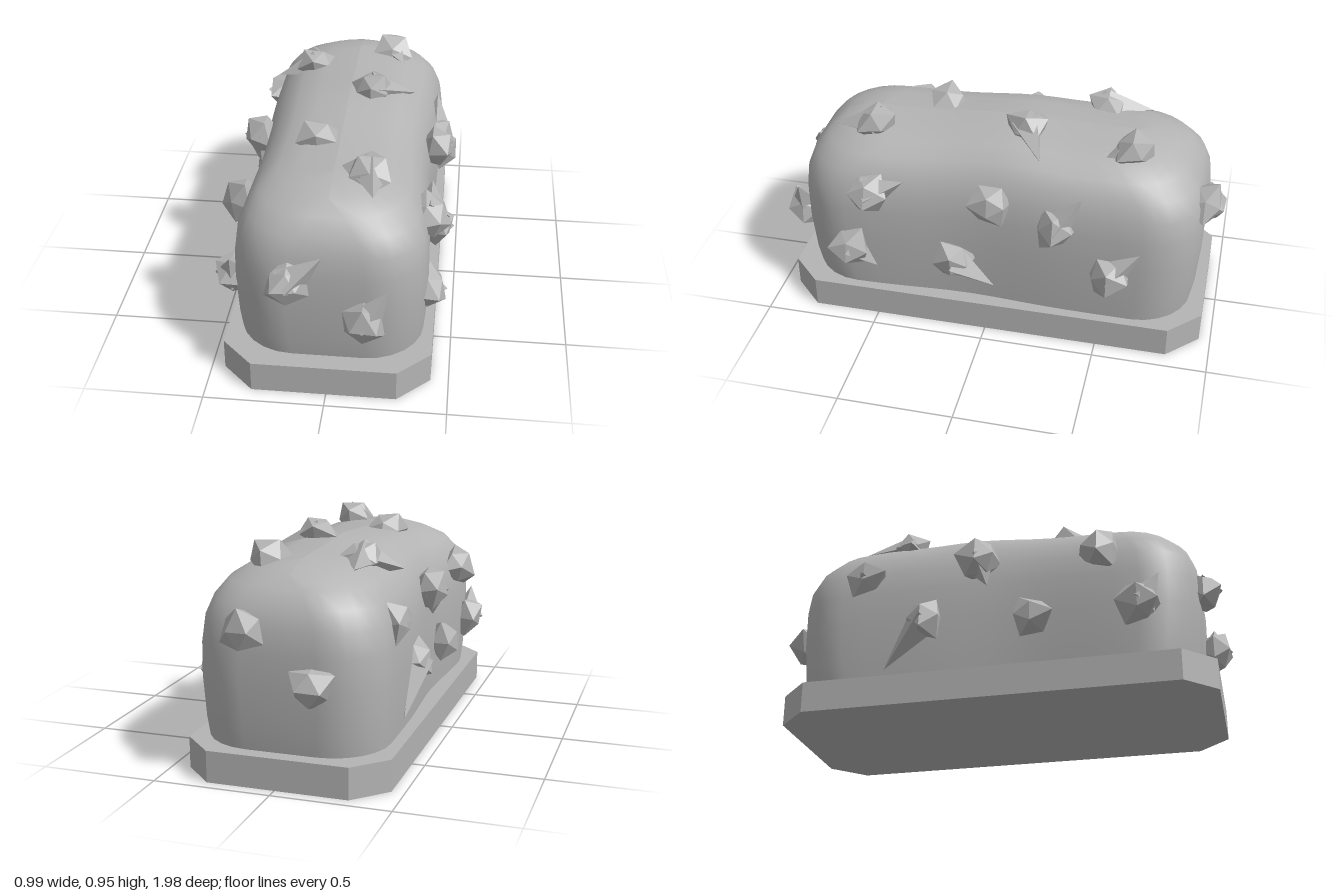
import * as THREE from 'three';

const stone = new THREE.MeshStandardMaterial({ color: 0xb4b4b4 });
stone.name = 'plain grey';
const facet = new THREE.MeshStandardMaterial({ color: 0xb4b4b4, flatShading: true });
facet.name = 'plain grey faceted';

// Rounded-rectangle outline in plan, with extra points along the long sides
function outline(a, b) {
  const r = Math.min(0.24, a), pts = [];
  for (let q = 0; q < 4; q++) {
    const sx = q < 2 ? 1 : -1, sz = q === 0 || q === 3 ? 1 : -1;
    for (let i = 0; i <= 6; i++) {
      const phi = ((q + i / 6) * Math.PI) / 2;
      pts.push([sx * (a - r) + r * Math.sin(phi), sz * (b - r) + r * Math.cos(phi)]);
    }
    if (q % 2 === 0) {
      for (let j = 1; j < 12; j++) pts.push([sx * a, sz * (b - r) * (1 - j / 6)]);
    }
  }
  return pts;
}

// Loaf-shaped body: outlines [y, half width, half length] stacked up to a ridge
function makeBody() {
  const rows = [
    [0.1, 0.385, 0.86], [0.22, 0.395, 0.88], [0.4, 0.403, 0.893], [0.54, 0.4, 0.895], [0.64, 0.388, 0.885],
    [0.72, 0.358, 0.857], [0.785, 0.312, 0.805], [0.83, 0.24, 0.74], [0.855, 0.14, 0.66], [0.865, 0, 0.58],
  ];
  const pos = [], index = [];
  rows.forEach(([y, a, b], r) => {
    const ring = outline(a, b), count = ring.length;
    ring.forEach(([x, v], i) => {
      const z = v - 0.02;
      const hump = Math.exp(-(((z + 0.1) / 0.3) ** 2));
      const waist = 1 - 0.06 * Math.exp(-(((z - 0.1) / 0.3) ** 2));
      const lift = 0.985 + 0.04 * hump + 0.022 * THREE.MathUtils.smoothstep(-z, 0.2, 0.55);
      pos.push(x * waist - 0.005, y * lift, z);
      if (r < rows.length - 1) {
        const j = (i + 1) % count, p = r * count;
        index.push(p + i, p + j, p + count + i, p + j, p + count + j, p + count + i);
      }
    });
  });
  const g = new THREE.BufferGeometry();
  g.setAttribute('position', new THREE.Float32BufferAttribute(pos, 3));
  g.setIndex(index);
  g.computeVertexNormals();
  return g;
}

// Flat slab with cut corners
function makeBase() {
  const a = 0.435, b = 0.94, c = 0.135;
  const pts = [[a, b - c], [a - c, b], [c - a, b], [-a, b - c], [-a, c - b], [c - a, -b], [a - c, -b], [a, c - b]];
  const shape = new THREE.Shape(pts.map(([x, y]) => new THREE.Vector2(x, y)));
  const g = new THREE.ExtrudeGeometry(shape, { depth: 0.135, bevelEnabled: false });
  return g.rotateX(-Math.PI / 2).translate(-0.01, 0, -0.01);
}

// Irregular chunk: icosahedron with its corners moved by a repeatable rule and a blunt top
function makeChunk(seed) {
  const g = new THREE.IcosahedronGeometry(1, 0);
  const p = g.attributes.position;
  for (let i = 0; i < p.count; i++) {
    const [x, y, z] = [p.getX(i), p.getY(i), p.getZ(i)];
    const k = 1 + 0.2 * Math.sin(seed * 2.3 + Math.round(x * 10) * 1.7 + Math.round(y * 10) * 2.9 + Math.round(z * 10) * 4.1);
    p.setXYZ(i, x * k, Math.min(y * k, 0.9), z * k);
  }
  g.computeVertexNormals();
  return g;
}

const UP = new THREE.Vector3(0, 1, 0);

// Rock at a point on the body, with sharp shards lying along the surface
function addRock(group, at, normal, reaches) {
  const seed = group.children.length + 1;
  const rock = new THREE.Group();
  rock.name = 'rock' + seed;
  const chunk = new THREE.Mesh(makeChunk(seed), facet);
  chunk.name = 'chunk';
  chunk.scale.set(0.095, 0.085, 0.095);
  chunk.quaternion.setFromUnitVectors(UP, normal.normalize());
  chunk.position.copy(at);
  rock.add(chunk);
  for (const reach of reaches) {
    const shard = new THREE.Mesh(new THREE.ConeGeometry(0.08, reach.length(), 4), facet);
    shard.name = 'shard';
    shard.position.copy(at).addScaledVector(reach, 0.5);
    shard.quaternion.setFromUnitVectors(UP, reach.normalize());
    rock.add(shard);
  }
  group.add(rock);
}

export function createModel() {
  const model = new THREE.Group();
  model.name = 'rockyLoaf';
  const body = new THREE.Mesh(makeBody(), stone);
  body.name = 'body';
  const base = new THREE.Mesh(makeBase(), facet);
  base.name = 'base';
  const rocks = new THREE.Group();
  rocks.name = 'rocks';
  model.add(body, base, rocks);
  const vec = (x, y, z) => new THREE.Vector3(x, y, z);

  // Rocks on the ends: x, y, then shard reaches in x and y
  const end = (z, x, y, ...reaches) =>
    addRock(rocks, vec(x, y, z), vec(0, 0, z), reaches.map(([dx, dy]) => vec(dx, dy, 0)));
  end(0.89, -0.155, 0.52, [0.14, 0.13]);
  end(0.905, 0.15, 0.36, [0.1, 0.16]);
  end(-0.91, 0.14, 0.64);
  end(-0.92, -0.15, 0.43);

  // Rocks on the long sides: z, y, then shard reaches in z and y; the upper row leans up
  const flank = (x, z, y, ...reaches) =>
    addRock(rocks, vec(x, y, z), vec(Math.sign(x), y > 0.5 ? 0.25 : 0, 0), reaches.map(([dz, dy]) => vec(0, dy, dz)));
  flank(0.39, 0.52, 0.64, [-0.16, 0.075]);
  flank(0.395, -0.02, 0.66);
  flank(0.38, -0.3, 0.57, [-0.11, 0.16]);
  flank(0.395, 0.62, 0.35, [-0.12, -0.1]);
  flank(0.41, 0.14, 0.35, [-0.18, -0.11]);
  flank(0.4, -0.54, 0.37, [-0.13, 0.13]);
  flank(-0.38, -0.57, 0.63, [-0.08, -0.11]);
  flank(-0.4, -0.3, 0.4, [-0.17, -0.22]);
  flank(-0.405, -0.06, 0.66, [0.04, -0.13]);
  flank(-0.41, 0.18, 0.36);
  flank(-0.4, 0.47, 0.65);
  flank(-0.42, 0.63, 0.37, [0.09, 0.13]);

  // Rocks on top: x, z, height, then shard reaches in x and z, dipping with the curve
  const crown = (x, z, y, ...reaches) =>
    addRock(rocks, vec(x, y, z), vec(x * 0.5, 1, 0), reaches.map(([dx, dz]) => vec(dx, -0.25 * Math.abs(dx), dz)));
  crown(-0.2, -0.43, 0.85, [-0.17, 0.05], [-0.03, -0.2]);
  crown(0.15, -0.59, 0.86, [0.06, 0.11]);
  crown(0.09, -0.12, 0.88, [0.19, -0.09]);
  crown(-0.1, 0.28, 0.85);
  crown(0.14, 0.55, 0.845, [0.03, 0.18], [-0.2, -0.05]);
  return model;
}
